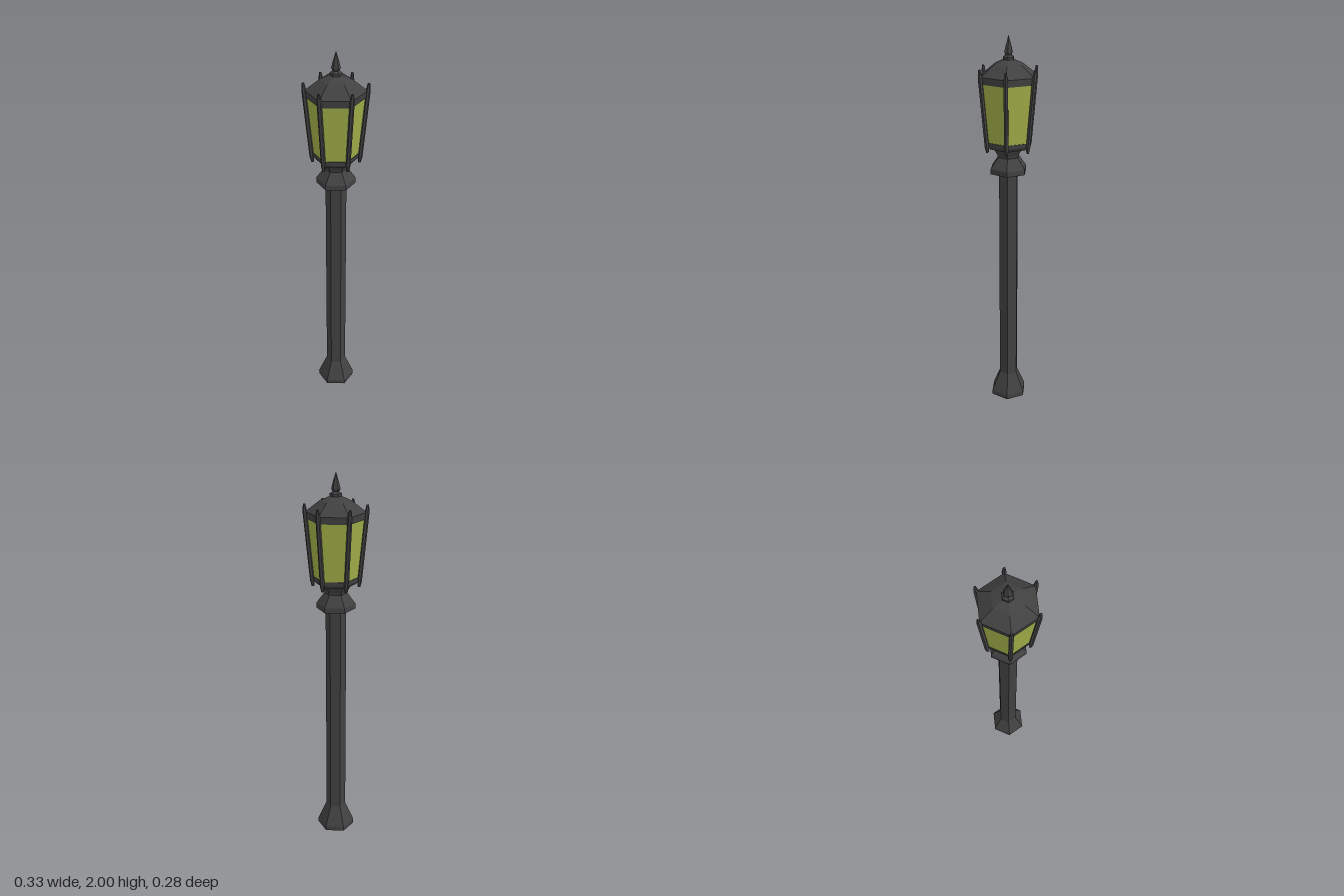
import * as THREE from 'three';

const iron = new THREE.MeshStandardMaterial({ color: 0x414141, flatShading: true });
iron.name = 'dark iron';
const glass = new THREE.MeshStandardMaterial({ color: 0xa0ad48, flatShading: true });
glass.name = 'yellow green glass';

// Six-sided turned part from [radius, height] pairs, bottom to top, corners on +x and -x
function hexTurned(name, profile, material) {
  const points = profile.map(([r, y]) => new THREE.Vector2(r, y));
  const mesh = new THREE.Mesh(new THREE.LatheGeometry(points, 6, Math.PI / 6), material);
  mesh.name = name;
  return mesh;
}

export function createModel() {
  const lamp = new THREE.Group();
  lamp.name = 'streetLamp';

  // Foot, shaft and collar
  lamp.add(
    hexTurned('foot', [[0, 0], [0.1, 0], [0.1, 0.025], [0.053, 0.135]], iron),
    hexTurned('shaft', [[0.053, 0.13], [0.053, 1.32]], iron),
    hexTurned('collar', [[0, 1.308], [0.1, 1.308], [0.1, 1.335], [0.056, 1.395], [0, 1.395]], iron),
    hexTurned('neck', [[0.058, 1.39], [0.062, 1.405], [0.08, 1.438], [0.08, 1.45]], iron),
  );

  // Lantern: lower rim, panes, upper rim with domed roof
  lamp.add(
    hexTurned('lowerRim', [[0, 1.438], [0.1, 1.438], [0.115, 1.455], [0.117, 1.475], [0.1, 1.475]], iron),
    hexTurned('panes', [[0.113, 1.47], [0.142, 1.775]], glass),
    hexTurned('roof', [[0.135, 1.77], [0.147, 1.77], [0.151, 1.805], [0.08, 1.86], [0.028, 1.883], [0, 1.883]], iron),
    hexTurned('finial', [[0.03, 1.875], [0.03, 1.895], [0.016, 1.905], [0.023, 1.917], [0.015, 1.95], [0, 2]], iron),
  );

  // Leaning bars on the six corners, pinched at both ends
  const bottom = new THREE.Vector2(0.117, 1.425);
  const top = new THREE.Vector2(0.156, 1.842);
  const length = bottom.distanceTo(top);
  const lean = Math.atan2(top.x - bottom.x, top.y - bottom.y);
  for (let i = 0; i < 6; i++) {
    const corner = new THREE.Group();
    corner.name = 'cornerBar' + (i + 1);
    const bar = hexTurned('bar', [
      [0, 0], [0.007, 0], [0.012, 0.03], [0.012, length - 0.04], [0.006, length], [0, length],
    ], iron);
    bar.position.set(bottom.x, bottom.y, 0);
    bar.rotation.z = -lean;
    corner.add(bar);
    corner.rotation.y = (i * Math.PI) / 3;
    lamp.add(corner);
  }
  return lamp;
}
